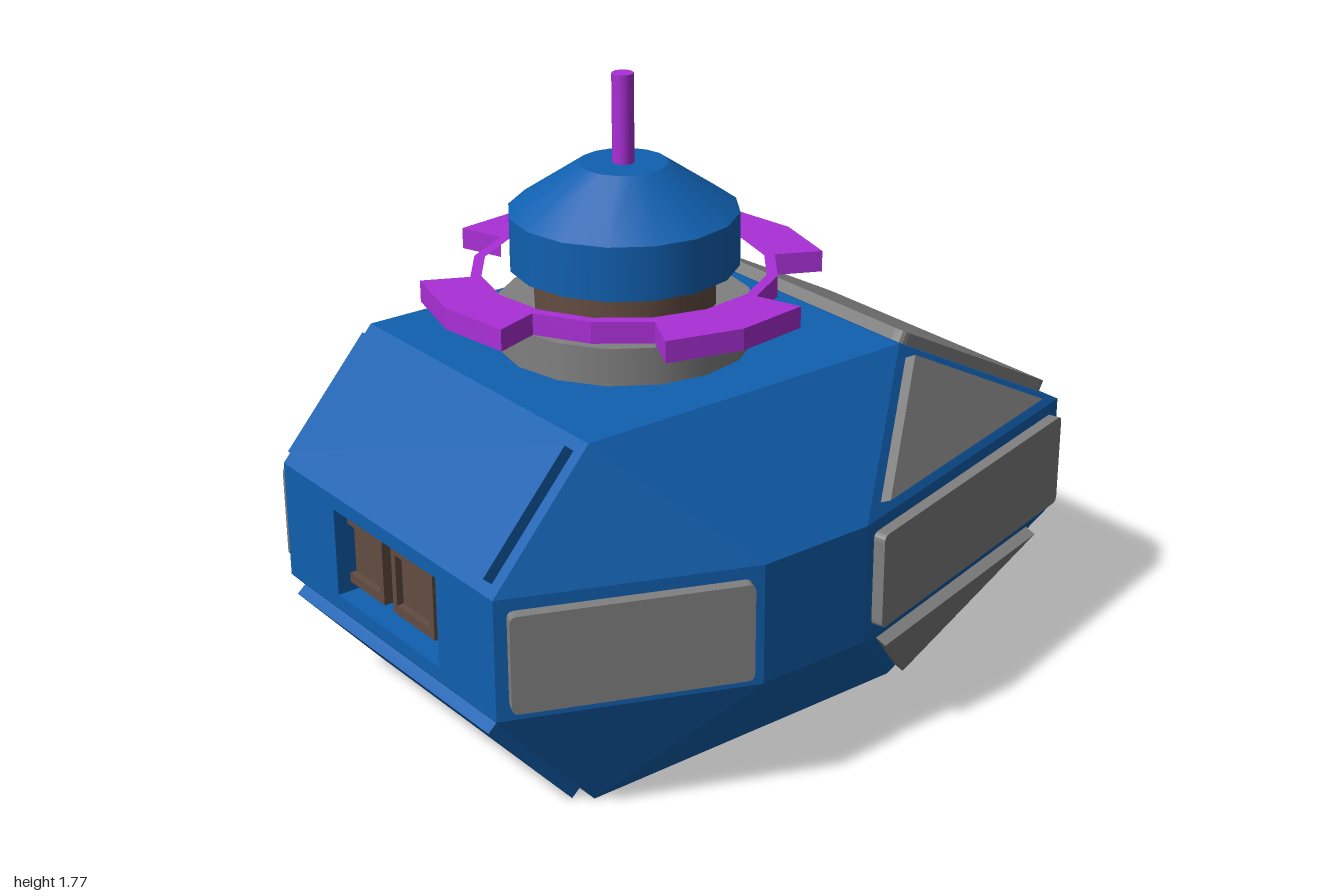
import * as THREE from 'three';
import { mergeGeometries } from 'three/addons/utils/BufferGeometryUtils.js';

const V = (x, y, z) => new THREE.Vector3(x, y, z);
const HULL_CENTRE = V(0, 0.52, 0.1);

const mat = (name, color) => {
  const m = new THREE.MeshStandardMaterial({ color });
  m.name = name;
  return m;
};

// Local frame of a flat face: matrix (z = outward) and its 2D corners
function frame(face) {
  const c = V(0, 0, 0);
  face.forEach((p) => c.addScaledVector(p, 1 / face.length));
  let pts = face;
  const normal = () => V(0, 0, 0).crossVectors(
    pts[1].clone().sub(pts[0]), pts[2].clone().sub(pts[0])).normalize();
  if (normal().dot(c.clone().sub(HULL_CENTRE)) < 0) pts = [...face].reverse();
  const n = normal();
  const u = pts[1].clone().sub(pts[0]).normalize();
  const v = V(0, 0, 0).crossVectors(n, u);
  const matrix = new THREE.Matrix4().makeBasis(u, v, n).setPosition(c);
  const flat = pts.map((p) => {
    const d = p.clone().sub(c);
    return new THREE.Vector2(d.dot(u), d.dot(v));
  });
  return { matrix, flat };
}

// Move every edge of a convex outline inwards by d
function insetOutline(pts, d) {
  const n = pts.length;
  const inward = (a, b) => {
    const e = b.clone().sub(a).normalize();
    return new THREE.Vector2(-e.y, e.x);
  };
  return pts.map((p, i) => {
    const n1 = inward(pts[(i + n - 1) % n], p);
    const n2 = inward(p, pts[(i + 1) % n]);
    return p.clone().addScaledVector(n1.clone().add(n2), d / (1 + n1.dot(n2)));
  });
}

function roundedShape(pts, r) {
  if (!r) return new THREE.Shape(pts);
  const s = new THREE.Shape();
  pts.forEach((p, i) => {
    const toward = (q) => p.clone().addScaledVector(q.clone().sub(p).normalize(), r);
    const a = toward(pts[(i + pts.length - 1) % pts.length]);
    const b = toward(pts[(i + 1) % pts.length]);
    if (i) s.lineTo(a.x, a.y); else s.moveTo(a.x, a.y);
    s.quadraticCurveTo(p.x, p.y, b.x, b.y);
  });
  s.closePath();
  return s;
}

const rect = (w, h) => [[-1, -1], [1, -1], [1, 1], [-1, 1]]
  .map(([x, y]) => new THREE.Vector2(x * w / 2, y * h / 2));

function holedRect(outline, w, h) {
  const s = new THREE.Shape(outline);
  s.holes.push(new THREE.Path(rect(w, h).reverse()));
  return s;
}

const extrude = (shape, depth) =>
  new THREE.ExtrudeGeometry(shape, { depth, bevelEnabled: false, curveSegments: 4 });

// Inside of a box, open towards +z
function recess(w, h, d) {
  const g = new THREE.BoxGeometry(w, h, d).translate(0, 0, -d / 2);
  const idx = [...g.index.array];
  g.setIndex([...idx.slice(0, 24), ...idx.slice(30)].reverse());
  const out = g.toNonIndexed();
  out.computeVertexNormals();
  return out;
}

export function createModel() {
  const blue = mat('hull blue', 0x1060b0);
  const grey = mat('armour grey', 0x808080);
  const purple = mat('ring purple', 0xaa2fd6);
  const brown = mat('fitting brown', 0x634c41);
  const model = new THREE.Group();
  const add = (name, geo, material, matrix) => {
    if (matrix) geo.applyMatrix4(matrix);
    const m = new THREE.Mesh(geo, material);
    m.name = name;
    model.add(m);
    return m;
  };

  // Hull corners: flat top and bottom caps joined by an eight-sided waist band
  const cap = (sx, sy, f) => V(0.51 * sx, sy > 0 ? 1.03 : 0, f > 0 ? 0.7 : -0.35);
  const outline = [[0.51, 1], [0.78, 0.35], [0.78, 0], [0.51, -1]];
  const waist = (sx, sy, i) => V(outline[i][0] * sx, sy > 0 ? 0.69 : 0.345, outline[i][1]);
  const band = (a, i, b, j) => [waist(a, -1, i), waist(b, -1, j), waist(b, 1, j), waist(a, 1, i)];

  const skins = [];
  const skin = (face, hole) => {
    const f = frame(face);
    const shape = hole ? holedRect(f.flat, hole[0], hole[1]) : new THREE.Shape(f.flat);
    skins.push(new THREE.ShapeGeometry(shape).applyMatrix4(f.matrix));
    return f;
  };
  const panel = (name, face, material, r) => {
    const f = frame(face);
    add(name, extrude(roundedShape(insetOutline(f.flat, 0.034), r), 0.034), material, f.matrix);
  };

  for (const sy of [1, -1]) {
    const level = sy > 0 ? 'upper' : 'lower';
    const slope = (f, i) => [cap(-1, sy, f), cap(1, sy, f), waist(1, sy, i), waist(-1, sy, i)];
    skin(slope(1, 0));
    skin(slope(-1, 3));
    panel(level + 'FrontPanel', slope(1, 0), blue, 0);
    if (sy > 0) panel('rearDeckPanel', slope(-1, 3), grey, 0.03);
    for (const sx of [1, -1]) {
      const side = sx > 0 ? 'Left' : 'Right';
      skin([cap(sx, sy, 1), waist(sx, sy, 0), waist(sx, sy, 1)]);
      skin([cap(sx, sy, 1), waist(sx, sy, 1), waist(sx, sy, 2), cap(sx, sy, -1)]);
      const rearCorner = [cap(sx, sy, -1), waist(sx, sy, 2), waist(sx, sy, 3)];
      skin(rearCorner);
      panel(level + side + 'CornerPanel', rearCorner, grey, 0);
    }
  }
  for (const sx of [1, -1]) {
    const side = sx > 0 ? 'left' : 'right';
    for (let i = 0; i < 3; i++) skin(band(sx, i, sx, i + 1));
    panel(side + 'FrontSidePanel', band(sx, 0, sx, 1), grey, 0.02);
    panel(side + 'RearSidePanel', band(sx, 2, sx, 3), grey, 0.02);
  }
  const lid = (sy) => [cap(-1, sy, 1), cap(1, sy, 1), cap(1, sy, -1), cap(-1, sy, -1)];
  skin(lid(1));
  const bottom = skin(lid(-1), [0.57, 0.35]);
  const front = skin(band(-1, 0, 1, 0), [0.5, 0.26]);
  const back = skin(band(-1, 3, 1, 3), [0.44, 0.28]);
  add('hull', mergeGeometries(skins), blue);

  // Recesses in the belly, nose and tail
  add('bellyRecess', recess(0.57, 0.35, 0.07), blue, bottom.matrix);
  add('noseRecess', recess(0.5, 0.26, 0.12), blue, front.matrix);
  add('tailBay', recess(0.44, 0.28, 0.25), brown, back.matrix);
  add('tailFrame', extrude(holedRect(rect(0.56, 0.345), 0.44, 0.28), 0.004), brown, back.matrix);

  // Pair of sensor boxes set inside the nose recess
  add('sensorMount', new THREE.BoxGeometry(0.42, 0.205, 0.03).translate(-0.04, 0.518, 0.905), brown);
  for (const x of [-0.175, 0.07]) {
    add('sensorHood', extrude(holedRect(rect(0.2, 0.205), 0.16, 0.15), 0.06)
      .translate(x, 0.518, 0.9), brown);
    add('sensorFace', new THREE.BoxGeometry(0.17, 0.16, 0.04).translate(x, 0.518, 0.92), brown);
  }

  // Turret stack
  const turret = new THREE.Group();
  turret.name = 'turret';
  turret.position.z = 0.2;
  model.add(turret);
  const drum = (name, rTop, rBottom, y0, y1, material, sides = 16) => {
    const g = new THREE.CylinderGeometry(rTop, rBottom, y1 - y0, sides);
    turret.add(add(name, g.translate(0, (y0 + y1) / 2, 0), material));
  };
  drum('turretBase', 0.355, 0.355, 1.02, 1.135, grey);
  drum('turretNeck', 0.25, 0.25, 1.13, 1.25, brown);
  drum('turretDrum', 0.315, 0.315, 1.25, 1.4, blue);
  drum('turretRoof', 0.122, 0.315, 1.4, 1.53, blue);
  drum('antenna', 0.03, 0.03, 1.52, 1.775, purple, 12);

  // Floating ring with four outward tabs, each two segments wide
  const at = (k, r) => {
    const a = THREE.MathUtils.degToRad(4 + 22.5 * k);
    return new THREE.Vector2(r * Math.sin(a), r * Math.cos(a));
  };
  const rim = [], hole = [];
  for (let k = 0; k < 16; k++) {
    const radii = [[0.555], [0.555, 0.42], [0.42], [0.42, 0.555]][k % 4];
    radii.forEach((r) => rim.push(at(k, r)));
    hole.push(at(k, 0.39));
  }
  const ringShape = new THREE.Shape(rim);
  ringShape.holes.push(new THREE.Path(hole));
  turret.add(add('tabbedRing', extrude(ringShape, 0.06).rotateX(-Math.PI / 2)
    .translate(0, 1.175, 0), purple));

  return model;
}
